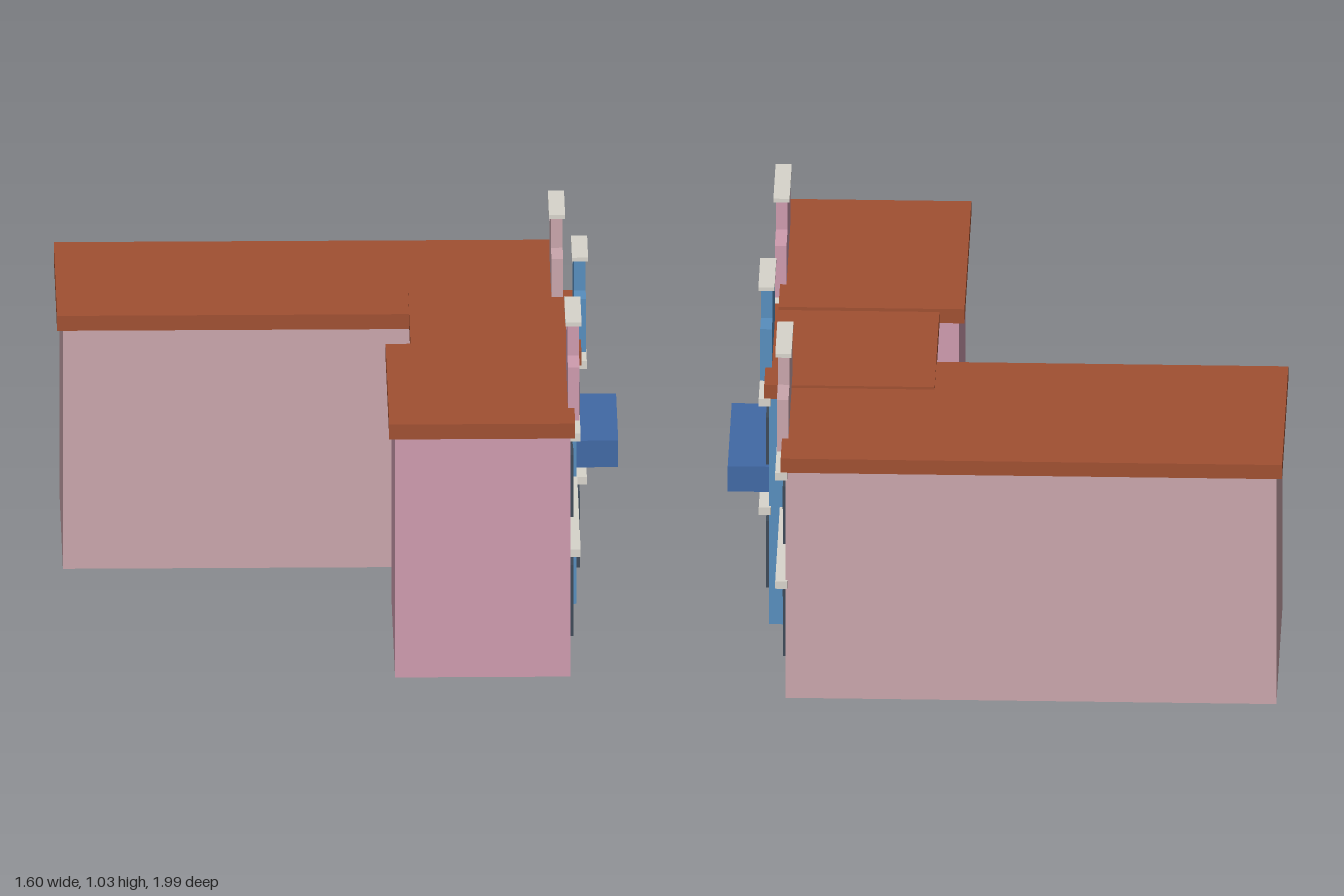
import * as THREE from 'three';

const mat = (color) => new THREE.MeshStandardMaterial({ color, flatShading: true });
const roofMat = mat(0xa05032);
const trimMat = mat(0xd8d5cc);
const glassMat = mat(0x3e4a58);
const balconyMat = mat(0x4169a5);

// Box given by its extents: x is towards the street, z runs along the row
function block(parent, name, material, [x0, x1], [y0, y1], [z0, z1]) {
  const mesh = new THREE.Mesh(new THREE.BoxGeometry(x1 - x0, y1 - y0, z1 - z0), material);
  mesh.position.set((x0 + x1) / 2, (y0 + y1) / 2, (z0 + z1) / 2);
  mesh.name = name;
  parent.add(mesh);
  return mesh;
}

// One house: walls, flat roof, stepped gable, cornices and two rows of windows
function house(o) {
  const g = new THREE.Group();
  g.name = o.name;
  g.position.y = o.base;
  const wallMat = mat(o.color);
  const [back, face] = o.x;
  const [z0, z1] = o.z;
  block(g, 'walls', wallMat, o.x, [0, 0.741], o.z);
  block(g, 'roof', roofMat, [back - 0.017, face + 0.014], [0.739, 0.785], [z0 - 0.011, z1 + 0.01]);

  // Stepped gable with a cap
  const [gc, lower, upper] = o.gable;
  const depth = [face - 0.005, face + 0.029];
  block(g, 'gableLower', wallMat, depth, [0.735, 0.91], [gc - lower, gc + lower]);
  block(g, 'gableUpper', wallMat, depth, [0.91, 1.003], [gc - upper, gc + upper]);
  block(g, 'gableCap', trimMat, [face - 0.011, face + 0.036], [1.003, 1.015],
    [gc - upper - 0.01, gc + upper + 0.01]);

  // Facade details lean very slightly along the street
  const mid = (z0 + z1) / 2;
  const half = (z1 - z0) / 2;
  const facade = new THREE.Group();
  facade.name = 'facadeDetails';
  facade.position.z = mid;
  facade.rotation.x = -0.014;
  g.add(facade);
  for (const y of [0.376, 0.732]) {
    block(facade, 'cornice', trimMat, [face - 0.005, face + 0.03], [y - 0.012, y + 0.012], [-half - 0.004, half + 0.004]);
  }
  for (const [y, h, w] of [[0.198, 0.109, 0.053], [0.549, 0.095, o.upperHalf]]) {
    for (const i of [-1, 0, 1]) {
      const z = o.windows[0] - mid + i * o.windows[1];
      block(facade, 'window', glassMat, [face - 0.01, face + 0.011], [y - h, y + h], [z - w, z + w]);
    }
  }
  return g;
}

export function createModel() {
  const model = new THREE.Group();
  model.name = 'rowOfHouses';
  const row = new THREE.Group();
  row.name = 'street';
  row.rotation.y = -0.286;
  model.add(row);

  row.add(house({
    name: 'frontHouse', color: 0xcf9caf, base: 0.018,
    x: [0.092, 0.602], z: [0.168, 0.843],
    gable: [0.511, 0.208, 0.102], windows: [0.518, 0.18], upperHalf: 0.05,
  }));

  const middle = house({
    name: 'middleHouse', color: 0x588ebe, base: 0.008,
    x: [0.165, 0.63], z: [-0.316, 0.188],
    gable: [-0.058, 0.157, 0.085], windows: [-0.058, 0.1375], upperHalf: 0.047,
  });
  block(middle, 'balcony', balconyMat, [0.625, 0.752], [0.405, 0.487], [-0.265, 0.142]);
  row.add(middle);

  row.add(house({
    name: 'backHouse', color: 0xcaa6ac, base: 0,
    x: [-0.859, 0.569], z: [-0.773, -0.158],
    gable: [-0.46, 0.193, 0.095], windows: [-0.457, 0.163], upperHalf: 0.049,
  }));
  return model;
}
